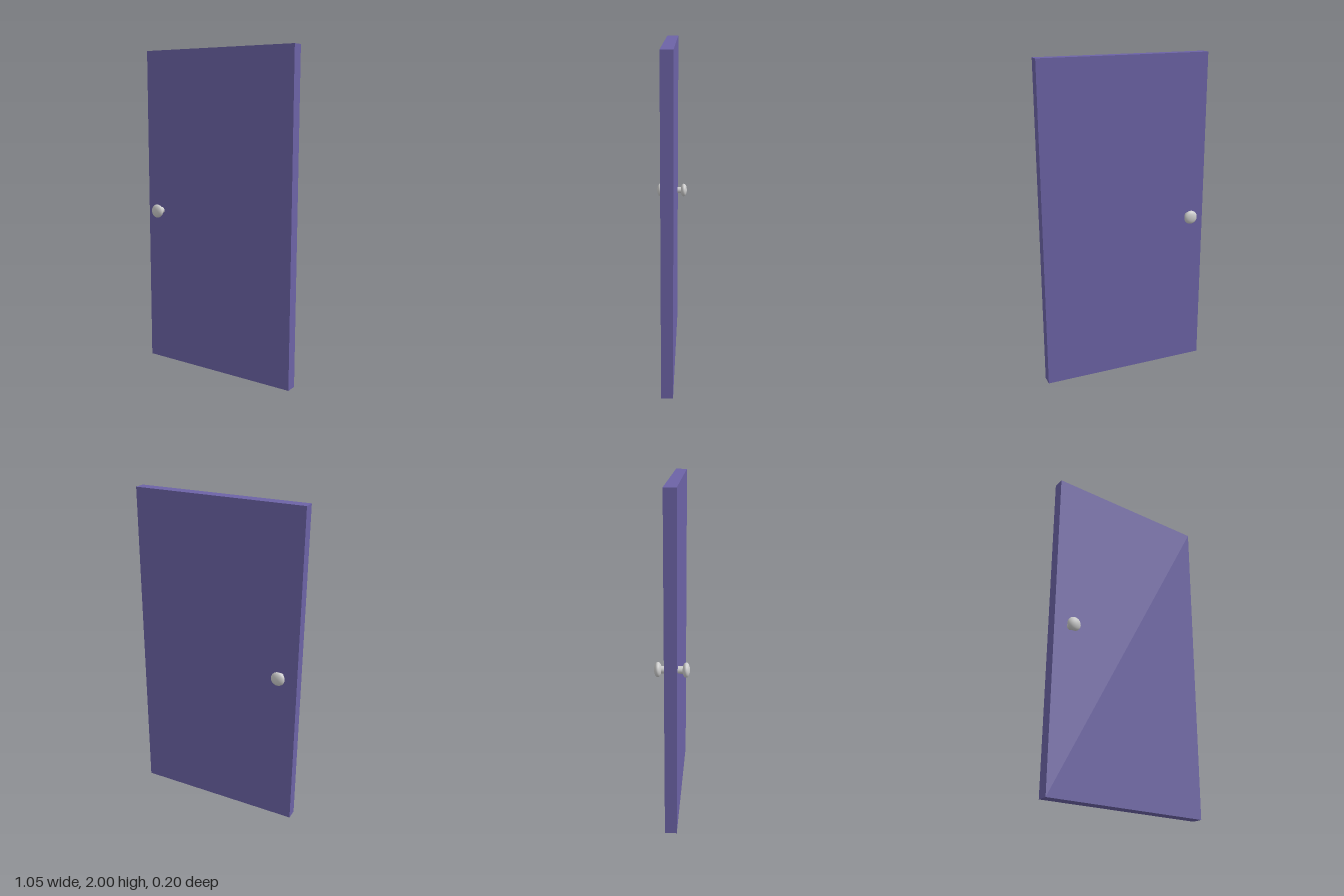
import * as THREE from 'three';

export function createModel() {
  const model = new THREE.Group();
  const paint = new THREE.MeshStandardMaterial({ color: 0x6c63a6 });
  const metal = new THREE.MeshStandardMaterial({ color: 0xcccccc });

  // Plain slab door
  const panel = new THREE.Mesh(new THREE.BoxGeometry(1.052, 2, 0.07), paint);
  panel.name = 'doorPanel';
  panel.position.set(0, 1, -0.002);
  model.add(panel);

  // Spindle running through the door
  const spindle = new THREE.Mesh(new THREE.CylinderGeometry(0.021, 0.021, 0.16, 32), metal);
  spindle.name = 'spindle';
  spindle.rotation.x = Math.PI / 2;
  spindle.position.set(-0.422, 0.995, 0);
  model.add(spindle);

  // Flattened knob on each face
  for (const [name, side] of [['frontKnob', 1], ['backKnob', -1]]) {
    const geometry = new THREE.SphereGeometry(0.0425, 32, 20);
    geometry.rotateX(Math.PI / 2).scale(1, 1, 0.5);
    const knob = new THREE.Mesh(geometry, metal);
    knob.name = name;
    knob.position.set(-0.422, 0.995, side * 0.079);
    model.add(knob);
  }
  return model;
}
